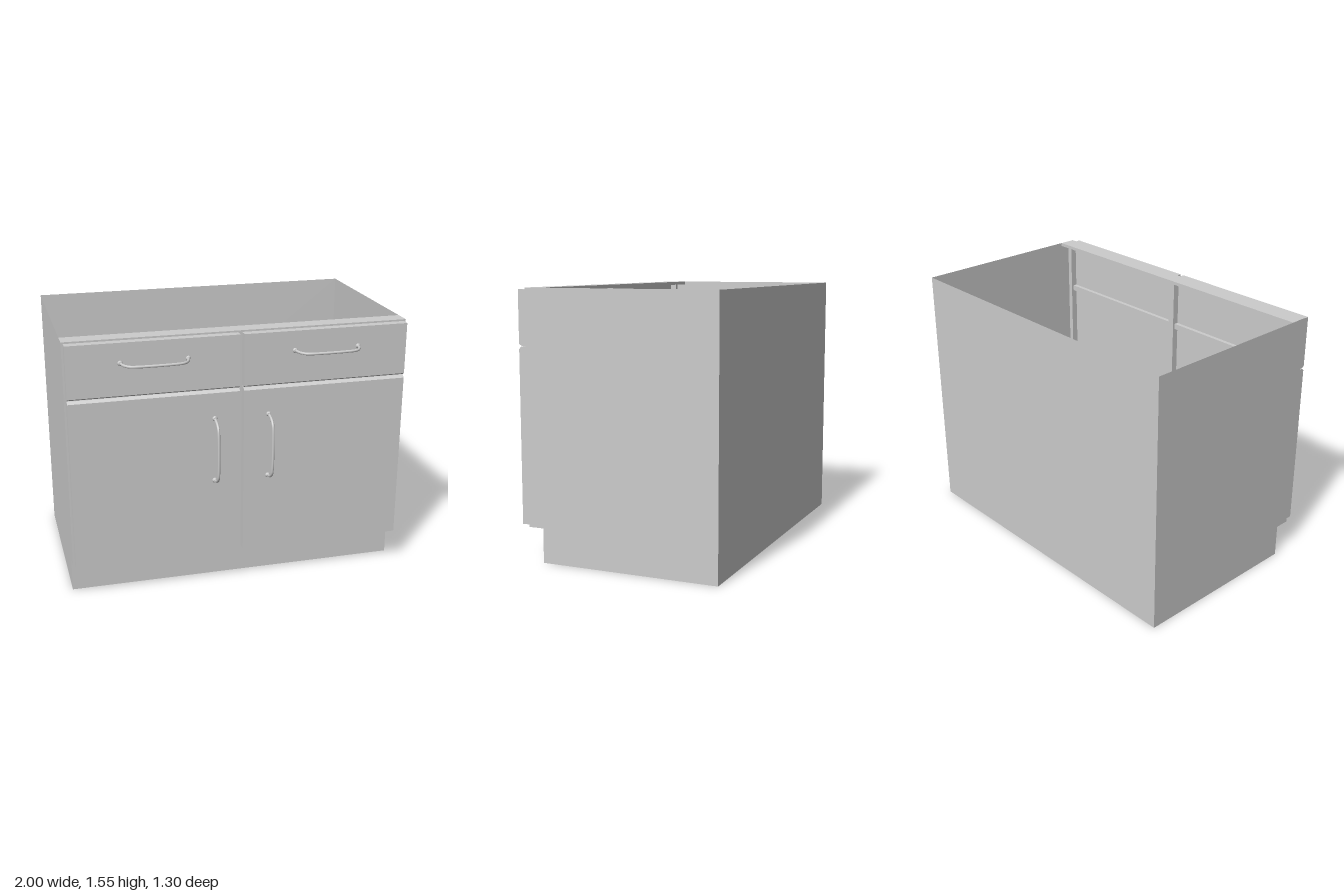
import * as THREE from 'three';

const steel = new THREE.MeshStandardMaterial({ color: 0xcccccc });
const sheetSteel = new THREE.MeshStandardMaterial({ color: 0xcccccc, side: THREE.DoubleSide });

const TOP = 1.55, BACK = -0.65, FRONT = 0.5, KICK_Z = 0.41, KICK_Y = 0.2;

function add(parent, name, geometry, material = steel) {
  const mesh = new THREE.Mesh(geometry, material);
  mesh.name = name;
  parent.add(mesh);
  return mesh;
}

// Box given by its minimum and maximum corners
function block(parent, name, [x0, y0, z0], [x1, y1, z1]) {
  const g = new THREE.BoxGeometry(x1 - x0, y1 - y0, z1 - z0);
  g.translate((x0 + x1) / 2, (y0 + y1) / 2, (z0 + z1) / 2);
  return add(parent, name, g);
}

// Full-width thin sheet spanning two (z, y) points
function sheet(parent, name, [z0, y0], [z1, y1]) {
  const g = new THREE.PlaneGeometry(2, Math.hypot(z1 - z0, y1 - y0));
  g.rotateX(Math.atan2(z1 - z0, y1 - y0));
  g.translate(0, (y0 + y1) / 2, (z0 + z1) / 2);
  return add(parent, name, g, sheetSteel);
}

// Closed (z, y) outline as a shape; x is negated so a +90 degree turn about y restores z
function outline(points) {
  return new THREE.Shape(points.map(([z, y]) => new THREE.Vector2(-z, y)));
}

// Front panel: profile extruded across the width
function panel(parent, name, x0, x1, points) {
  const g = new THREE.ExtrudeGeometry(outline(points), { depth: x1 - x0, bevelEnabled: false });
  g.rotateY(Math.PI / 2);
  g.translate(x0, 0, 0);
  return add(parent, name, g);
}

// Bowed pull handle lying along x, projecting towards +z from its mounting face
function pullHandle(name) {
  const handle = new THREE.Group();
  handle.name = name;
  const half = [[0.19, 0], [0.178, 0.05], [0.155, 0.08], [0.125, 0.091]];
  const pts = [
    ...half.map(([x, z]) => new THREE.Vector3(-x, 0, z)),
    ...half.slice().reverse().map(([x, z]) => new THREE.Vector3(x, 0, z)),
  ];
  const path = new THREE.CurvePath();
  for (let i = 1; i < pts.length; i++) path.add(new THREE.LineCurve3(pts[i - 1], pts[i]));
  const curve = new THREE.CatmullRomCurve3(pts, false, 'centripetal');
  add(handle, 'handleBar', new THREE.TubeGeometry(curve, 40, 0.008, 10));
  for (const s of [-1, 1]) {
    const foot = new THREE.CylinderGeometry(0.01, 0.015, 0.012, 16);
    foot.rotateX(Math.PI / 2);
    foot.translate(s * 0.19, 0, 0.006);
    add(handle, 'handleFoot', foot);
  }
  return handle;
}

export function createModel() {
  const cabinet = new THREE.Group();
  cabinet.name = 'baseCabinet';

  // Open-topped sheet carcass with a recessed toe kick
  const carcass = new THREE.Group();
  carcass.name = 'carcass';
  cabinet.add(carcass);
  const side = [[BACK, 0], [KICK_Z, 0], [KICK_Z, KICK_Y], [FRONT, KICK_Y], [FRONT, TOP], [BACK, TOP]];
  for (const s of [-1, 1]) {
    const g = new THREE.ShapeGeometry(outline(side));
    g.rotateY(Math.PI / 2);
    g.translate(s, 0, 0);
    add(carcass, s > 0 ? 'leftSide' : 'rightSide', g, sheetSteel);
  }
  sheet(carcass, 'backPanel', [BACK, 0], [BACK, TOP]);
  sheet(carcass, 'bottomPanel', [BACK, 0], [KICK_Z, 0]);
  sheet(carcass, 'toeKick', [KICK_Z, 0], [KICK_Z, KICK_Y]);
  sheet(carcass, 'toeKickCeiling', [KICK_Z, KICK_Y], [FRONT, KICK_Y]);

  // Face frame
  const frame = new THREE.Group();
  frame.name = 'faceFrame';
  cabinet.add(frame);
  block(frame, 'topRail', [-1, TOP - 0.02, 0.4], [1, TOP, FRONT]);
  block(frame, 'middleRail', [-1, 1.2, 0.475], [1, 1.235, FRONT]);
  block(frame, 'bottomRail', [-1, KICK_Y, 0.475], [1, KICK_Y + 0.03, FRONT]);
  block(frame, 'centreStile', [-0.02, KICK_Y, 0.46], [0.02, TOP, FRONT]);
  block(frame, 'rightStile', [-1, KICK_Y, 0.46], [-0.97, TOP, FRONT]);
  block(frame, 'leftStile', [0.97, KICK_Y, 0.46], [1, TOP, FRONT]);

  // Drawer fronts and doors, chamfered where they meet
  const face = 0.55, c = 0.015;
  const drawer = [[FRONT, 1.228], [face - c, 1.228], [face, 1.238], [face, 1.54], [FRONT, 1.54]];
  const door = [[FRONT, 0.21], [face, 0.21], [face, 1.21], [face - c, 1.224], [FRONT, 1.224]];
  for (const s of [-1, 1]) {
    const label = s > 0 ? 'left' : 'right';
    const x0 = s > 0 ? 0.012 : -0.988;
    panel(cabinet, label + 'DrawerFront', x0, x0 + 0.976, drawer);
    panel(cabinet, label + 'Door', x0, x0 + 0.976, door);

    const drawerHandle = pullHandle(label + 'DrawerHandle');
    drawerHandle.position.set(s * 0.5, 1.425, face);
    const doorHandle = pullHandle(label + 'DoorHandle');
    doorHandle.rotation.z = Math.PI / 2;
    doorHandle.position.set(s * 0.16, 0.868, face);
    cabinet.add(drawerHandle, doorHandle);
  }
  return cabinet;
}
